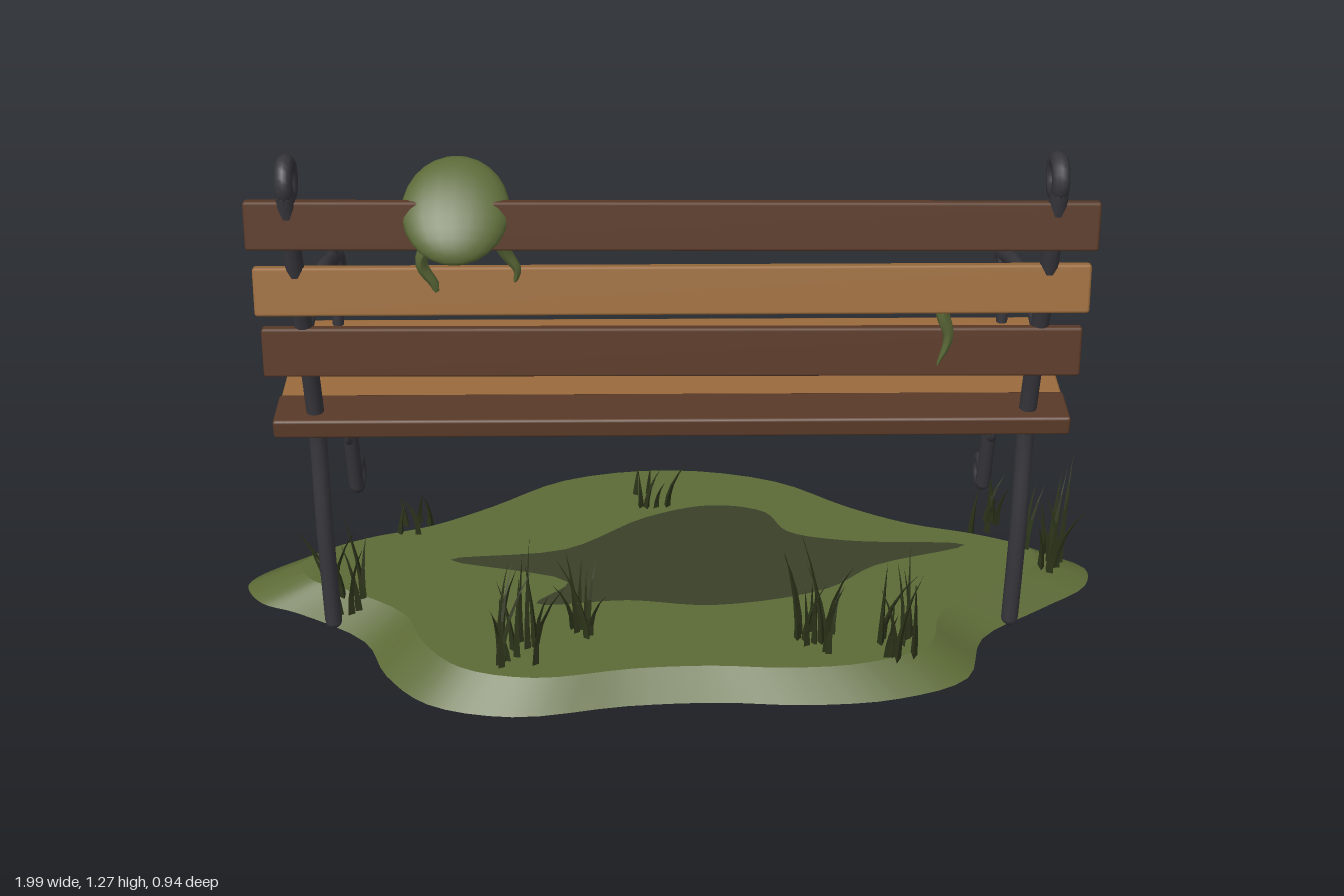
import * as THREE from 'three';
import { toCreasedNormals } from 'three/addons/utils/BufferGeometryUtils.js';
import { RoundedBoxGeometry } from 'three/addons/geometries/RoundedBoxGeometry.js';

const mat = (color, extra = {}) => new THREE.MeshStandardMaterial({ color, ...extra });
const V = (x, y, z) => new THREE.Vector3(x, y, z);

export function createModel() {
  const root = new THREE.Group();
  const iron = mat(0x36363c), dark = mat(0x5a3a28), light = mat(0x9a6b3c);
  const earth = mat(0x5c6a36), moss = mat(0x5c6a38), soil = mat(0x3b4029);
  const grass = mat(0x2b3319, { flatShading: true });

  let seed = 7;
  const rand = (a, b) => {
    seed = (seed * 16807) % 2147483647;
    return a + (b - a) * (seed / 2147483647);
  };

  const add = (parent, name, geo, material, x = 0, y = 0, z = 0) => {
    const m = new THREE.Mesh(geo, material);
    m.name = name;
    m.position.set(x, y, z);
    parent.add(m);
    return m;
  };

  // Smooth closed outline from [x, z] points
  const outline = (pts, n) => new THREE.Shape(
    new THREE.CatmullRomCurve3(pts.map(([x, z]) => V(x, -z, 0)), true)
      .getPoints(n).slice(0, -1).map(p => new THREE.Vector2(p.x, p.y)));

  // Ground mound: extruded outline whose top edge is drawn in
  const mound = new THREE.ExtrudeGeometry(outline([
    [0, -0.47], [0.3, -0.41], [0.5, -0.28], [0.66, -0.2], [0.86, -0.14], [0.99, -0.07],
    [0.98, 0], [0.86, 0.09], [0.71, 0.2], [0.66, 0.34], [0.5, 0.41], [0.3, 0.43], [0.1, 0.42],
    [-0.1, 0.43], [-0.35, 0.465], [-0.54, 0.42], [-0.64, 0.32], [-0.7, 0.2], [-0.87, 0.09],
    [-0.96, 0.05], [-1, -0.02], [-0.95, -0.08], [-0.84, -0.14], [-0.66, -0.2], [-0.5, -0.29],
    [-0.3, -0.42]], 104), { depth: 0.06, bevelEnabled: false });
  mound.rotateX(-Math.PI / 2);
  const mp = mound.attributes.position;
  for (let i = 0; i < mp.count; i++) {
    if (mp.getY(i) > 0.03) mp.setXYZ(i, mp.getX(i) * 0.87, 0.06, mp.getZ(i) * 0.87);
  }
  add(root, 'ground', toCreasedNormals(mound, 0.5), earth);

  // Bare soil patch lying on the mound
  const patch = new THREE.ShapeGeometry(outline([
    [-0.52, -0.03], [-0.25, -0.07], [-0.06, -0.2], [0.1, -0.25], [0.23, -0.22], [0.28, -0.14],
    [0.42, -0.1], [0.7, -0.08], [0.48, 0], [0.36, 0.09], [0.1, 0.15], [-0.1, 0.13],
    [-0.31, 0.14], [-0.24, 0.06]], 70));
  patch.rotateX(-Math.PI / 2);
  add(root, 'soilPatch', patch, soil, 0, 0.063, 0);

  // Slats: name, colour, y, z, height, depth, tilt, roll
  const slats = [
    ['seatSlat', dark, 0.622, 0.217, 0.042, 0.11, 0, 0],
    ['seatSlat', light, 0.612, 0.1, 0.038, 0.108, 0, 0.002],
    ['seatSlat', dark, 0.61, -0.018, 0.04, 0.106, 0, -0.002],
    ['seatSlat', light, 0.609, -0.134, 0.036, 0.112, 0, 0],
    ['backSlat', dark, 1.135, 0.331, 0.1, 0.026, -0.18, -0.005],
    ['backSlat', light, 0.978, 0.308, 0.102, 0.026, -0.22, 0],
    ['backSlat', dark, 0.82, 0.284, 0.106, 0.026, -0.17, -0.003]];
  slats.forEach(([name, m, y, z, h, d, tilt, roll]) => {
    const s = add(root, name, new RoundedBoxGeometry(1.685, h, d, 1, 0.006), m, 0, y, z);
    s.rotation.set(tilt, 0, roll);
  });

  // Iron end frames, drawn as [z, y] paths
  const rod = (parent, name, pts, r) => {
    const curve = new THREE.CatmullRomCurve3(pts.map(([z, y]) => V(0, y, z)));
    add(parent, name, new THREE.TubeGeometry(curve, 24, r, 10), iron);
    for (const [z, y] of [pts[0], pts[pts.length - 1]]) {
      add(parent, name + 'End', new THREE.SphereGeometry(r, 10, 6), iron, 0, y, z);
    }
  };
  const ring = (parent, name, z, y, R, r) => {
    const g = new THREE.TorusGeometry(R, r, 10, 24);
    g.rotateY(Math.PI / 2);
    add(parent, name, g, iron, 0, y, z);
  };
  for (const side of [-1, 1]) {
    const f = new THREE.Group();
    f.name = side > 0 ? 'leftFrame' : 'rightFrame';
    f.position.x = side * 0.757;
    rod(f, 'backPost', [[0.253, 0.105], [0.25, 0.36], [0.226, 0.6], [0.265, 0.86],
      [0.3, 1.03], [0.322, 1.15], [0.328, 1.2]], 0.019);
    ring(f, 'topScroll', 0.3, 1.222, 0.034, 0.018);
    rod(f, 'armrest', [[0.262, 0.855], [0.16, 0.867], [0.06, 0.86], [-0.06, 0.835],
      [-0.17, 0.795], [-0.225, 0.772]], 0.017);
    ring(f, 'armScroll', -0.21, 0.736, 0.04, 0.017);
    rod(f, 'armPost', [[-0.172, 0.833], [-0.172, 0.7], [-0.165, 0.57]], 0.013);
    rod(f, 'seatRail', [[0.232, 0.592], [0.09, 0.577], [-0.05, 0.568], [-0.17, 0.567]], 0.015);
    rod(f, 'frontLeg', [[-0.165, 0.57], [-0.182, 0.42], [-0.203, 0.28], [-0.225, 0.145]], 0.018);
    ring(f, 'legRing', -0.187, 0.337, 0.036, 0.008);
    ring(f, 'footScroll', -0.26, 0.155, 0.032, 0.016);
    root.add(f);
  }

  // Moss cushions
  const cushion = (x, y, z, sx, sy, sz, tilt) => {
    const c = add(root, 'mossCushion', new THREE.SphereGeometry(1, 20, 14), moss, x, y, z);
    c.scale.set(sx, sy, sz);
    c.rotation.x = tilt;
  };
  cushion(-0.427, 1.163, 0.317, 0.107, 0.115, 0.04, -0.85);
  cushion(0.61, 0.628, 0.004, 0.085, 0.034, 0.08, 0.5);

  // Hanging tendrils, tapering toward the tip
  const tendril = (pts, r) => {
    const curve = new THREE.CatmullRomCurve3(pts.map(p => V(...p)));
    const g = new THREE.TubeGeometry(curve, 16, r, 7);
    const p = g.attributes.position, c = V(), v = V();
    for (let i = 0; i < p.count; i++) {
      const t = Math.floor(i / 8) / 16;
      curve.getPointAt(t, c);
      v.fromBufferAttribute(p, i).sub(c).multiplyScalar(1 - 0.9 * t * t).add(c);
      p.setXYZ(i, v.x, v.y, v.z);
    }
    g.computeVertexNormals();
    add(root, 'mossTendril', g, moss);
  };
  tendril([[-0.47, 1.12, 0.34], [-0.5, 1.05, 0.325], [-0.475, 0.99, 0.315], [-0.48, 0.92, 0.3]], 0.015);
  tendril([[-0.35, 1.12, 0.34], [-0.33, 1.07, 0.325], [-0.31, 1.03, 0.32], [-0.32, 0.99, 0.31]], 0.015);
  tendril([[0.56, 0.99, 0.29], [0.55, 0.92, 0.3], [0.565, 0.86, 0.302], [0.545, 0.79, 0.3]], 0.017);
  tendril([[-0.65, 0.62, -0.195], [-0.65, 0.54, -0.2], [-0.62, 0.49, -0.198], [-0.64, 0.41, -0.195]], 0.017);
  tendril([[0.08, 0.62, -0.195], [0.09, 0.56, -0.2], [0.12, 0.52, -0.2], [0.1, 0.46, -0.195]], 0.016);

  // Grass tufts: x, z, height, blade count
  const tufts = [
    [-0.74, 0.12, 0.24, 9], [-0.62, -0.18, 0.13, 6], [-0.34, 0.32, 0.27, 14],
    [-0.23, 0.24, 0.22, 8], [-0.045, -0.27, 0.16, 6], [0.32, 0.28, 0.27, 12],
    [0.5, 0.3, 0.24, 10], [0.76, -0.16, 0.15, 6], [0.88, -0.03, 0.25, 13]];
  tufts.forEach(([x, z, height, count]) => {
    const tuft = new THREE.Group();
    tuft.name = 'grassTuft';
    tuft.position.set(x, 0.05, z);
    for (let i = 0; i < count; i++) {
      const h = height * rand(0.55, 1), lean = rand(0.02, 0.4) * h;
      const g = new THREE.ConeGeometry(0.0095, h, 3, 4);
      g.translate(0, h / 2, 0);
      const p = g.attributes.position;
      // Bend each blade outward with height
      for (let k = 0; k < p.count; k++) {
        const t = Math.max(0, p.getY(k) / h);
        p.setX(k, p.getX(k) + lean * t * t);
      }
      g.computeVertexNormals();
      const blade = add(tuft, 'grassBlade', g, grass, rand(-0.045, 0.045), 0, rand(-0.045, 0.045));
      blade.rotation.y = rand(0, Math.PI * 2);
    }
    root.add(tuft);
  });

  return root;
}
